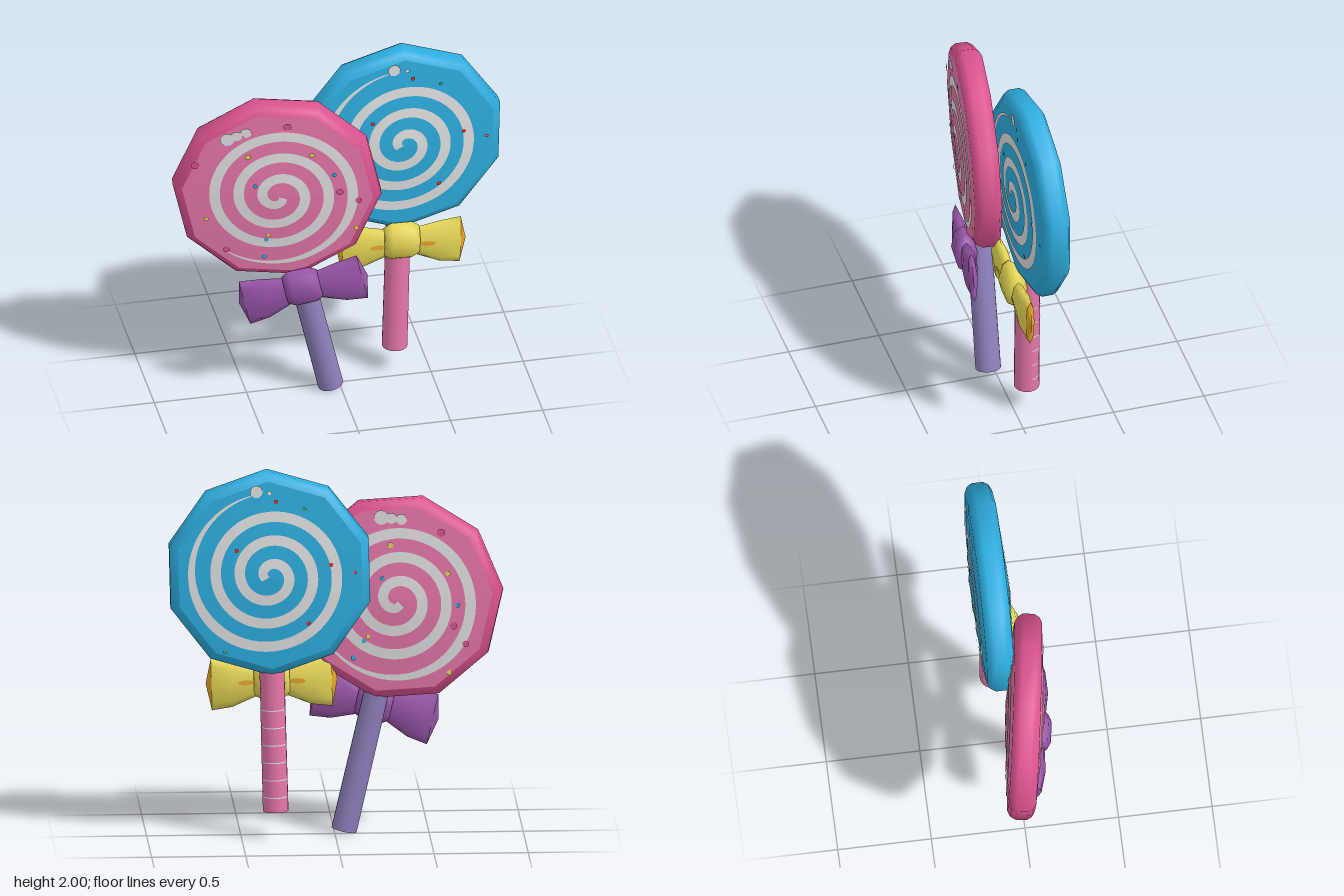
import * as THREE from 'three';

const mat = (name, color) => Object.assign(new THREE.MeshStandardMaterial({ color }), { name });
const SIDES = 10, STEP = Math.PI * 2 / SIDES;
const FACE_R = 0.51, FACE_Z = 0.073, CENTRE_Z = 0.104;

function add(parent, name, geometry, material) {
  const mesh = new THREE.Mesh(geometry, material);
  mesh.name = name;
  parent.add(mesh);
  return mesh;
}

// Ten-sided lathe whose axis points along z
function candyLathe(points) {
  const profile = points.map(([r, z]) => new THREE.Vector2(r, z));
  return new THREE.LatheGeometry(profile, SIDES).rotateX(Math.PI / 2);
}

// Height of the shallow ten-sided candy face at (x, y)
function faceZ(x, y) {
  const a = Math.atan2(y, x);
  const off = a - Math.round(a / STEP) * STEP;
  const r = Math.hypot(x, y) * Math.cos(off) / Math.cos(STEP / 2);
  return CENTRE_Z + (FACE_Z - CENTRE_Z) * r / FACE_R;
}

function geometryFrom(positions, index) {
  const g = new THREE.BufferGeometry();
  g.setAttribute('position', new THREE.Float32BufferAttribute(positions, 3));
  g.setIndex(index);
  g.computeVertexNormals();
  return g;
}

// Flat spiral band lying on the candy face, winding inwards anticlockwise
function spiral(startAngle) {
  const n = 260, turns = 3.3, outer = 0.445, pitch = 0.128;
  const pos = [], idx = [];
  for (let i = 0; i <= n; i++) {
    const t = i / n, a = startAngle + t * turns * Math.PI * 2;
    const r = outer - pitch * turns * t;
    const half = 0.028 * Math.min(1, 0.1 + t * 9);
    for (const rr of [r + half, Math.max(r - half, 0)]) {
      const x = rr * Math.cos(a), y = rr * Math.sin(a);
      pos.push(x, y, faceZ(x, y) + 0.004);
    }
    const k = i * 2;
    if (i < n) idx.push(k, k + 2, k + 1, k + 1, k + 2, k + 3);
  }
  return geometryFrom(pos, idx);
}

// Loft of oval sections along x; each station is [x, centreY, halfHeight, halfDepth]
function loft(stations, n = 8) {
  const pos = [], idx = [];
  stations.forEach(([x, cy, h, d], i) => {
    for (let j = 0; j < n; j++) {
      const a = j / n * Math.PI * 2;
      pos.push(x, cy + h * Math.sin(a), d * Math.cos(a));
      if (i < stations.length - 1) {
        const p = i * n + j, q = i * n + (j + 1) % n;
        idx.push(p, p + n, q, q, p + n, q + n);
      }
    }
  });
  return geometryFrom(pos, idx);
}

function createBow(material, accent) {
  const bow = new THREE.Group();
  bow.name = 'bow';
  add(bow, 'knot', loft([
    [-0.097, 0, 0, 0], [-0.095, 0, 0.088, 0.045], [-0.055, 0, 0.112, 0.065],
    [0.055, 0, 0.112, 0.065], [0.095, 0, 0.088, 0.045], [0.097, 0, 0, 0],
  ]), material);
  for (const side of [0, 1]) {
    const wing = new THREE.Group();
    wing.name = side ? 'rightWing' : 'leftWing';
    wing.rotation.y = side * Math.PI;
    bow.add(wing);
    add(wing, 'wingLoop', loft([
      [0.05, -0.005, 0.075, 0.03], [0.21, -0.022, 0.125, 0.042], [0.32, -0.022, 0.14, 0.024],
    ]), material);
    add(wing, 'wingTip', loft([[0.32, -0.022, 0.14, 0.024], [0.35, -0.015, 0, 0]]), accent);
    // Small coloured fold beside the knot, front and back
    if (accent !== material) for (const s of [0, 1]) {
      const fold = add(wing, 'fold', new THREE.CircleGeometry(1, 12), accent);
      fold.scale.set(0.045, 0.014, 1);
      fold.position.set(0.135, -0.01, s ? -0.04 : 0.04);
      fold.rotation.y = s ? Math.PI + 0.075 : -0.075;
    }
  }
  return bow;
}

// Lollipop with the candy centre at its origin; spots are [x, y, radius, material]
function createLollipop(o) {
  const lolly = new THREE.Group();
  lolly.name = o.name;
  add(lolly, 'candyRim', candyLathe([
    [FACE_R, -FACE_Z], [0.54, -0.058], [0.557, -0.03],
    [0.557, 0.03], [0.54, 0.058], [FACE_R, FACE_Z],
  ]), o.rim);
  for (const back of [0, 1]) {
    const side = new THREE.Group();
    side.name = back ? 'backFace' : 'frontFace';
    side.rotation.y = back * Math.PI;
    lolly.add(side);
    add(side, 'candyFace', candyLathe([[FACE_R, FACE_Z], [0, CENTRE_Z]]), o.face);
    add(side, 'spiral', spiral(o.spiralStart - o.lean), o.white);
    for (const [sx, sy, r, m] of o.spots) {
      const c = Math.cos(o.lean), s = Math.sin(o.lean);
      const x = sx * c + sy * s, y = sy * c - sx * s;
      add(side, 'spot', new THREE.CircleGeometry(r, 10), m)
        .position.set(x, y, faceZ(x, y) + 0.008);
    }
  }
  // Stick reaches up into the candy
  const stick = add(lolly, 'stick', new THREE.CylinderGeometry(0.066, 0.068, 0.8, 20), o.stick);
  stick.position.set(0, -0.9, 0.012);
  if (o.rings) for (let i = 0; i < 6; i++) {
    const ring = add(lolly, 'stickRing',
      new THREE.CylinderGeometry(0.069, 0.069, 0.006, 16, 1, true, Math.PI * 0.55, Math.PI * 0.8), o.white);
    ring.position.set(0, -1.22 + i * 0.095, 0.012);
  }
  const bow = createBow(o.bow, o.bowAccent);
  bow.position.set(0, -0.6, 0.093);
  lolly.add(bow);
  lolly.rotation.order = 'ZYX';
  lolly.rotation.set(0, o.turn, o.lean);
  lolly.position.set(...o.position);
  return lolly;
}

export function createModel() {
  const pink = mat('candy pink', 0xe878aa), rose = mat('deep rose', 0xdc548f);
  const blue = mat('sky blue', 0x2eaee0), white = mat('sugar white', 0xe2e2e2);
  const purple = mat('bow purple', 0x9a56aa), lavender = mat('stick lavender', 0x9080bc);
  const yellow = mat('bow yellow', 0xe8da58), orange = mat('fold orange', 0xe6a62c);
  const red = mat('sprinkle red', 0xd8352f), green = mat('sprinkle green', 0x3fa878);

  const model = new THREE.Group();
  model.name = 'lollipops';
  model.add(createLollipop({
    name: 'blueLollipop', rim: blue, face: blue, white, stick: pink, rings: true,
    bow: yellow, bowAccent: orange, spiralStart: 1.75,
    lean: -0.026, turn: 0, position: [0.352, 1.45, -0.085],
    spots: [
      [-0.05, 0.46, 0.034, white], [0.02, 0.45, 0.012, white],
      [0.05, 0.4, 0.012, red], [-0.17, 0.15, 0.012, red],
      [0.325, 0.04, 0.012, red], [0.19, -0.27, 0.012, red],
      [0.45, -0.01, 0.011, rose], [0.2, 0.35, 0.011, green], [-0.26, -0.4, 0.011, green],
    ],
  }));
  model.add(createLollipop({
    name: 'pinkLollipop', rim: rose, face: pink, white, stick: lavender, rings: false,
    bow: purple, bowAccent: purple, spiralStart: 4.05,
    lean: 0.226, turn: -0.15, position: [-0.34, 1.285, 0.018],
    spots: [
      [-0.27, 0.36, 0.04, white], [-0.22, 0.38, 0.03, white], [-0.17, 0.4, 0.03, white],
      [0.05, 0.43, 0.022, rose], [-0.44, 0.2, 0.022, rose],
      [0.33, 0.01, 0.02, rose], [0.43, -0.05, 0.018, rose], [-0.27, -0.34, 0.018, rose],
      [-0.16, 0.25, 0.016, yellow], [0.18, 0.25, 0.014, yellow],
      [-0.38, -0.14, 0.013, yellow], [0.42, -0.23, 0.015, yellow], [-0.05, -0.25, 0.013, yellow],
      [-0.12, 0.07, 0.013, blue], [0.3, 0.12, 0.013, blue],
      [-0.07, -0.39, 0.014, blue], [-0.06, -0.28, 0.012, blue],
    ],
  }));
  return model;
}
